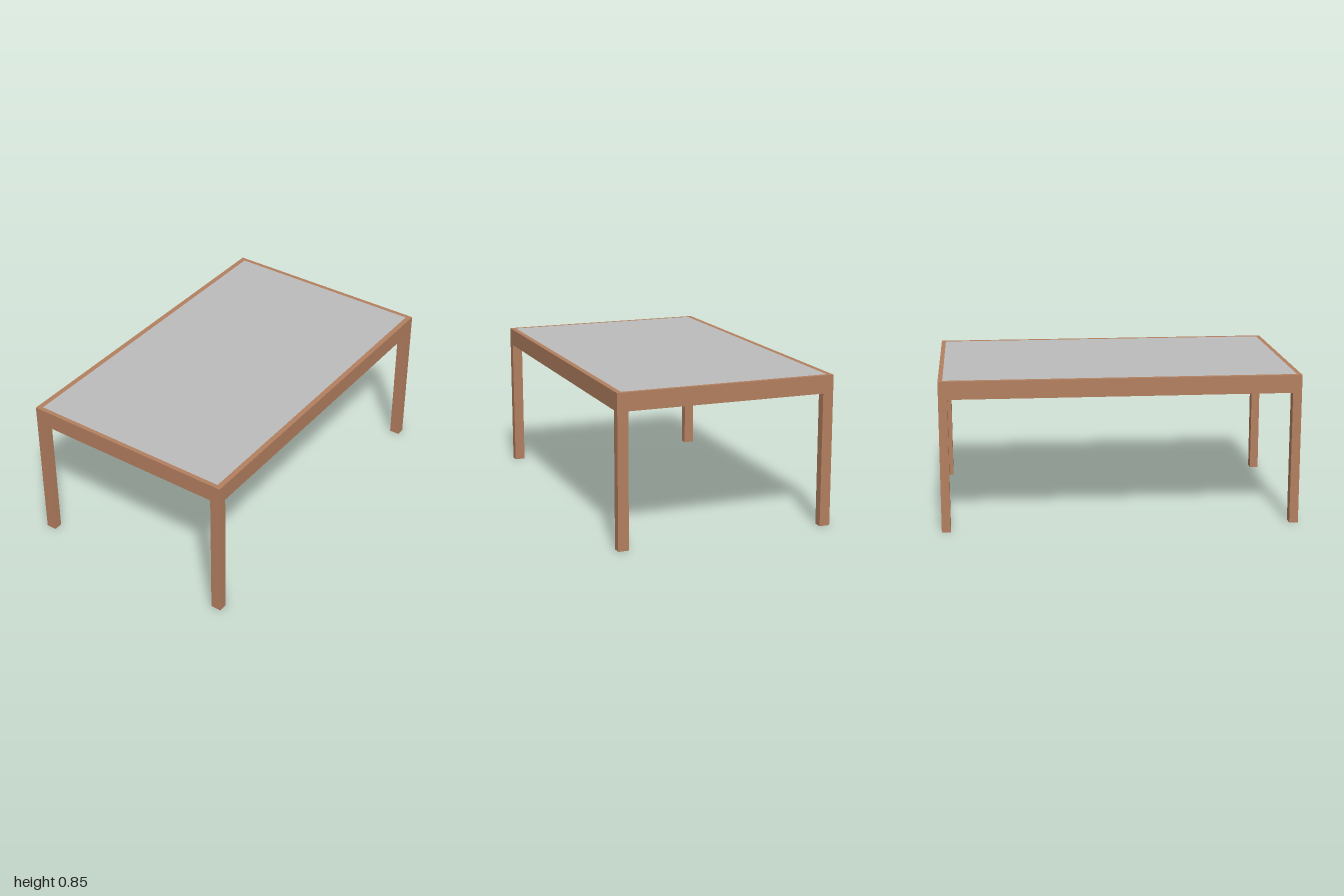
import * as THREE from 'three';

const HX = 0.62, HZ = 1; // half width, half length
const LEG_X = 0.06, LEG_Z = 0.05; // leg section, also the rail widths
const TRIM_X = 0.03, TRIM_Z = 0.025; // visible border around the panel
const RAIL_Y = 0.75, PANEL_Y = 0.833, TOP_Y = 0.85;

// Rectangular ring lying flat between two heights
function ringGeometry(bx, bz, y0, y1) {
  const rect = (C, x, z) => new C([[-x, -z], [x, -z], [x, z], [-x, z]].map(([a, b]) => new THREE.Vector2(a, b)));
  const shape = rect(THREE.Shape, HX, HZ);
  shape.holes.push(rect(THREE.Path, HX - bx, HZ - bz));
  return new THREE.ExtrudeGeometry(shape, { depth: y1 - y0, bevelEnabled: false })
    .rotateX(-Math.PI / 2)
    .translate(0, y0, 0);
}

export function createModel() {
  const wood = new THREE.MeshStandardMaterial({ name: 'wood', color: 0xb27f5f });
  const grey = new THREE.MeshStandardMaterial({ name: 'grey panel', color: 0xbcbcbc });

  const table = new THREE.Group();
  table.name = 'table';
  const add = (name, geometry, material) => {
    const mesh = new THREE.Mesh(geometry, material);
    mesh.name = name;
    table.add(mesh);
    return mesh;
  };

  // Rails, with a rebate at the top that holds the panel
  add('railFrame', ringGeometry(LEG_X, LEG_Z, RAIL_Y, PANEL_Y), wood);
  add('topBorder', ringGeometry(TRIM_X, TRIM_Z, PANEL_Y, TOP_Y), wood);

  // Table top, flush with the border
  const t = TOP_Y - PANEL_Y;
  add('topPanel', new THREE.BoxGeometry(2 * (HX - TRIM_X), t, 2 * (HZ - TRIM_Z)), grey)
    .position.y = PANEL_Y + t / 2;

  // Four legs flush with the outer corners
  const legGeometry = new THREE.BoxGeometry(LEG_X, RAIL_Y, LEG_Z);
  for (const [zName, sz] of [['front', 1], ['back', -1]]) {
    for (const [xName, sx] of [['Left', 1], ['Right', -1]]) {
      add(`${zName}${xName}Leg`, legGeometry, wood)
        .position.set(sx * (HX - LEG_X / 2), RAIL_Y / 2, sz * (HZ - LEG_Z / 2));
    }
  }
  return table;
}
